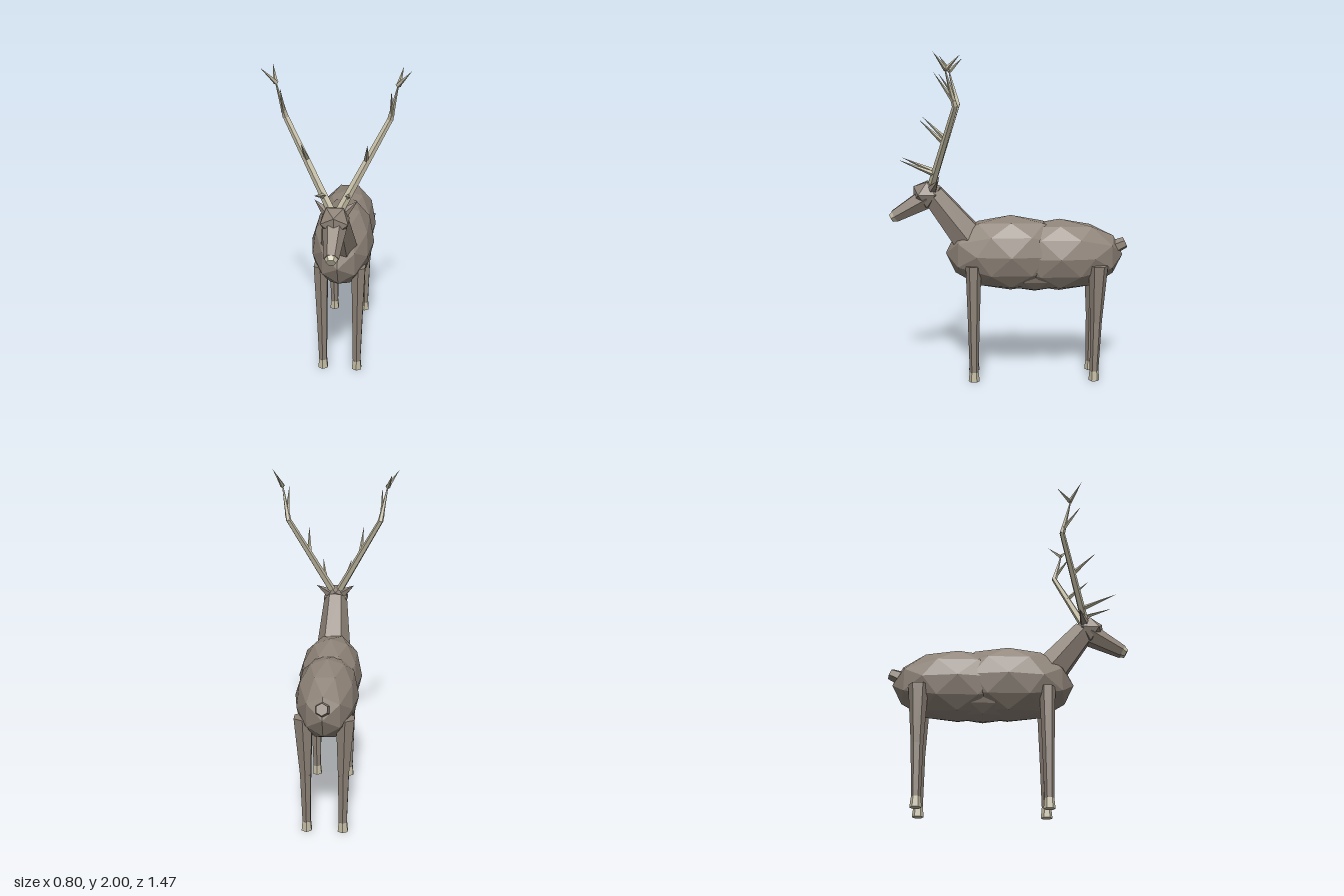
import * as THREE from 'three';

const mat = (name, color) => {
  const m = new THREE.MeshStandardMaterial({ color });
  m.name = name;
  return m;
};

export function createModel() {
  const group = new THREE.Group();
  group.name = 'stag';
  const hide = mat('hide', 0x8e8378);
  const horn = mat('horn', 0xc2bba3);

  // Adds a mesh with faceted normals
  function add(name, geo, material) {
    const g = geo.index ? geo.toNonIndexed() : geo;
    g.computeVertexNormals();
    const mesh = new THREE.Mesh(g, material);
    mesh.name = name;
    group.add(mesh);
    return mesh;
  }

  // Faceted ellipsoid
  function blob(name, pos, radii, detail) {
    const geo = new THREE.IcosahedronGeometry(1, detail);
    geo.scale(...radii);
    geo.translate(...pos);
    return add(name, geo, hide);
  }

  // Tapered prism between two points; a zero end radius makes a spike
  function limb(name, a, b, ra, rb, material, sides = 6, turn = 0) {
    const from = new THREE.Vector3(...a);
    const dir = new THREE.Vector3(...b).sub(from);
    const len = dir.length();
    const geo = new THREE.CylinderGeometry(rb, ra, len, sides);
    geo.rotateY(turn);
    geo.translate(0, len / 2, 0);
    geo.applyQuaternion(new THREE.Quaternion().setFromUnitVectors(
      new THREE.Vector3(0, 1, 0), dir.normalize()));
    geo.translate(...a);
    return add(name, geo, material);
  }

  // Torso
  blob('chest', [0, 0.79, -0.01], [0.195, 0.235, 0.4], 1);
  blob('hindquarters', [0, 0.775, -0.31], [0.188, 0.225, 0.395], 1);
  blob('belly', [0, 0.7, -0.16], [0.15, 0.153, 0.24], 1);
  limb('tail', [0, 0.82, -0.65], [0, 0.85, -0.72], 0.046, 0.035, hide);

  // Neck and head
  const flat = Math.PI / 6;
  limb('neck', [0, 0.885, 0.25], [0, 1.155, 0.465], 0.108, 0.075, hide, 6, flat);
  blob('head', [0, 1.157, 0.5], [0.092, 0.092, 0.097], 0);
  limb('muzzle', [0, 1.135, 0.5], [0, 1.022, 0.7], 0.072, 0.042, hide, 6, flat);
  limb('nose', [0, 1.022, 0.7], [0, 1.01, 0.722], 0.038, 0.028, horn, 6, flat);

  for (const s of [1, -1]) {
    const side = s > 0 ? 'left' : 'right';
    const at = (x, y, z) => [s * x, y, z];

    limb(side + 'Ear', at(0.05, 1.195, 0.465), at(0.122, 1.252, 0.43), 0.03, 0, hide, 5);

    // Antler beam in two stretches
    limb(side + 'AntlerBeam', at(0.025, 1.21, 0.472), at(0.29, 1.7, 0.315), 0.025, 0.017, horn, 5);
    limb(side + 'AntlerUpperBeam', at(0.288, 1.695, 0.317), at(0.328, 1.9, 0.37), 0.018, 0.004, horn, 5);

    // Tines: base, tip, base radius
    const tines = [
      [at(0.068, 1.285, 0.45), at(0.095, 1.375, 0.665), 0.017],
      [at(0.165, 1.475, 0.385), at(0.178, 1.62, 0.535), 0.016],
      [at(0.298, 1.725, 0.325), at(0.295, 1.89, 0.44), 0.014],
      [at(0.326, 1.9, 0.365), at(0.4, 2, 0.436), 0.014],
      [at(0.33, 1.9, 0.37), at(0.355, 1.985, 0.285), 0.014],
    ];
    tines.forEach(([a, b, r], i) => limb(side + 'Tine' + (i + 1), a, b, r, 0, horn, 4));

    // Legs: name, top x, top z, foot z, top radius
    const legs = [['Front', 0.114, 0.22, 0.22, 0.048], ['Hind', 0.12, -0.54, -0.525, 0.06]];
    for (const [n, tx, tz, fz, r] of legs) {
      const knee = at(0.11, 0.37, (tz + fz) / 2);
      limb(side + n + 'Thigh', knee, at(tx, 0.73, tz), 0.036, r, hide);
      limb(side + n + 'Shin', at(0.107, 0.05, fz), knee, 0.027, 0.036, hide);
      limb(side + n + 'Hoof', at(0.107, 0, fz), at(0.107, 0.06, fz), 0.034, 0.028, horn);
    }
  }
  return group;
}
